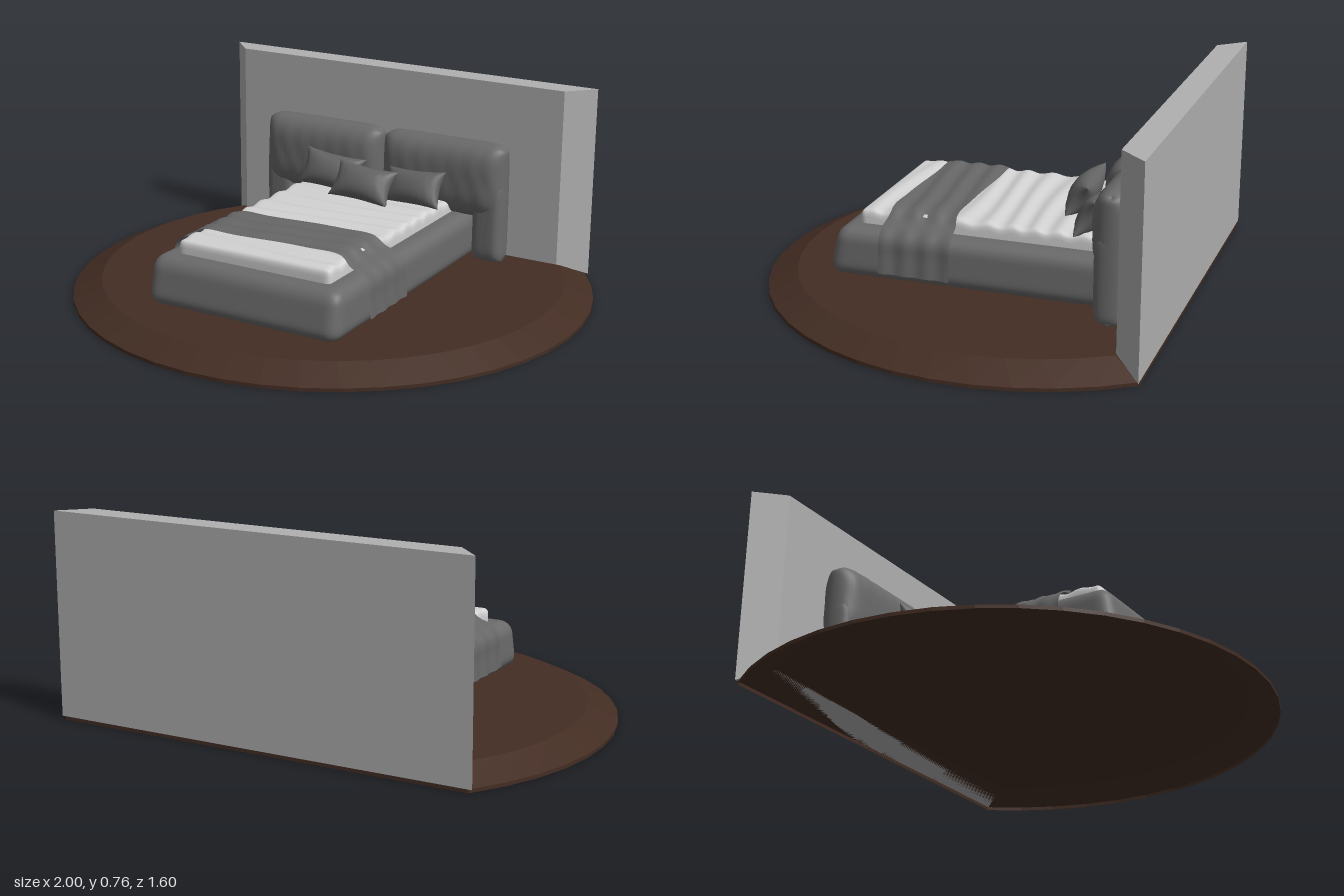
import * as THREE from 'three';
import { mergeVertices } from 'three/addons/utils/BufferGeometryUtils.js';

const material = (name, color, side = THREE.FrontSide) => {
  const m = new THREE.MeshStandardMaterial({ color, side });
  m.name = name;
  return m;
};

// Move every vertex by a rule, weld the seams and smooth the normals
function shaped(geometry, rule) {
  const p = geometry.attributes.position, v = new THREE.Vector3();
  for (let i = 0; i < p.count; i++) {
    v.fromBufferAttribute(p, i);
    rule(v);
    p.setXYZ(i, v.x, v.y, v.z);
  }
  geometry.deleteAttribute('uv');
  geometry.deleteAttribute('normal');
  const g = mergeVertices(geometry, 1e-5);
  g.computeVertexNormals();
  return g;
}

// Box with rounded edges of radius r, then an extra rule for its folds
function softBox(w, h, d, r, segs, rule) {
  const half = new THREE.Vector3(w / 2 - r, h / 2 - r, d / 2 - r);
  const low = half.clone().negate(), inner = new THREE.Vector3();
  return shaped(new THREE.BoxGeometry(w, h, d, ...segs), (v) => {
    inner.copy(v).clamp(low, half);
    v.sub(inner).setLength(r).add(inner);
    rule(v);
  });
}

// Stuffed cushion: power sets how square its section is, pinch how far the sides curve in
function cushion(w, h, d, power, pinch, corner, fold, n = 24) {
  return shaped(new THREE.BoxGeometry(2, 2, 2, n, n, 1), (v) => {
    const u = Math.sin(v.x * Math.PI / 2), t = Math.sin(v.y * Math.PI / 2);
    const puff = Math.sqrt(Math.max(0, (1 - Math.abs(u) ** power[0]) * (1 - Math.abs(t) ** power[1])));
    const wave = 1 + fold * Math.sin(u * 23 + 2 * Math.sin(t * 3));
    v.set(
      u * w / 2 * (1 - pinch * (1 - t * t)) - Math.sign(u) * corner * Math.abs(u) ** 8 * Math.abs(t) ** 14,
      t * h / 2 * (1 - pinch * (1 - u * u)) - Math.sign(t) * corner * Math.abs(t) ** 8 * Math.abs(u) ** 14,
      Math.sign(v.z) * d / 2 * puff * wave
    );
  });
}

// Round platform cut straight at the back: open shell with a sloping rim
function platformGeometry() {
  const n = 32, rings = [[1, 0, -0.8], [1, 0.013, -0.8], [0.89, 0.064, -0.7]];
  const pos = [], index = [];
  for (const [r, y, back] of rings) {
    const end = Math.PI - Math.acos((-0.2 - back) / r);
    for (let i = 0; i <= n; i++) {
      const a = -end + 2 * end * i / n;
      pos.push(r * Math.sin(a), y, -0.2 + r * Math.cos(a));
    }
  }
  const m = n + 1;
  for (let k = 0; k < 2; k++) {
    for (let i = 0; i < m; i++) {
      const a = k * m + i, b = k * m + (i + 1) % m;
      index.push(a, b, b + m, a, b + m, a + m);
    }
  }
  for (let i = 1; i < n; i++) index.push(2 * m, 2 * m + i, 2 * m + i + 1);
  const g = new THREE.BufferGeometry();
  g.setAttribute('position', new THREE.Float32BufferAttribute(pos, 3));
  g.setIndex(index);
  const flat = g.toNonIndexed();
  flat.computeVertexNormals();
  return flat;
}

// Wall with slanted ends, its foot following the sloping rim
function wallGeometry() {
  const s = new THREE.Shape([[-0.815, 0.8], [0.815, 0.8], [0.72, 0.7], [-0.72, 0.7]].map(([x, y]) => new THREE.Vector2(x, y)));
  const g = new THREE.ExtrudeGeometry(s, { depth: 0.76, bevelEnabled: false }).rotateX(-Math.PI / 2);
  const p = g.attributes.position;
  for (let i = 0; i < p.count; i++) {
    if (p.getY(i) < 0.1) p.setY(i, p.getZ(i) > -0.75 ? 0.064 : 0.013);
  }
  g.computeVertexNormals();
  return g;
}

// Throw draped over the bed and down both sides
function blanketGeometry() {
  const side = [[0.424, 0.105], [0.418, 0.17], [0.413, 0.23], [0.385, 0.264], [0.335, 0.285], [0.295, 0.315], [0.15, 0.318]];
  const points = [
    ...side.map(([x, y]) => new THREE.Vector3(-x, y, 0)),
    ...side.reverse().map(([x, y]) => new THREE.Vector3(x, y, 0)),
  ];
  const path = new THREE.CatmullRomCurve3(points);
  return shaped(new THREE.PlaneGeometry(1, 1, 80, 24), (v) => {
    const q = path.getPointAt(THREE.MathUtils.clamp(v.x + 0.5, 0, 1));
    const top = THREE.MathUtils.smoothstep(q.y, 0.27, 0.31);
    const z = 0.13 - v.y * (0.25 + 0.02 * (1 - top));
    const wave = Math.sin(z * 75 + 2 * Math.sin(q.x * 5));
    v.set(q.x + Math.sign(q.x) * (1 - top) * 0.003 * wave, q.y + top * 0.004 * wave, z);
  });
}

export function createModel() {
  const model = new THREE.Group();
  const brown = material('brown floor', 0x432d23, THREE.DoubleSide);
  const wallGrey = material('wall grey', 0xb0b0b0);
  const upholstery = material('upholstery grey', 0x6a6a6a);
  const linen = material('light linen', 0xd2d2d2);
  const throwGrey = material('blanket grey', 0x666666, THREE.DoubleSide);
  const pillowGrey = material('pillow grey', 0x626262);

  const add = (name, geometry, mat, position = [0, 0, 0], rotation = [0, 0, 0]) => {
    const mesh = new THREE.Mesh(geometry, mat);
    mesh.name = name;
    mesh.position.set(...position);
    mesh.rotation.set(...rotation);
    model.add(mesh);
  };

  add('platform', platformGeometry(), brown);
  add('wall', wallGeometry(), wallGrey);

  // Padded bed base, wider at the foot, with shallow vertical folds
  add('bedBase', softBox(0.8, 0.185, 1.15, 0.05, [50, 14, 70], (v) => {
    const edge = THREE.MathUtils.smoothstep(Math.abs(v.y), 0.093, 0.04);
    const fold = 0.003 * edge * Math.sin((v.x + v.z) * 60 + 2 * Math.sin(v.x * 9 + v.y * 14));
    v.x += Math.sign(v.x) * fold - v.x * v.y * 0.1;
    v.z += Math.sign(v.z) * fold;
    if (v.z > 0.3) v.z -= (v.z - 0.3) * v.y * 0.7;
  }), upholstery, [0, 0.158, -0.115]);

  // Mattress with rumpled bedding
  add('mattress', softBox(0.64, 0.14, 0.98, 0.02, [48, 10, 100], (v) => {
    if (v.y > 0.04) {
      const calm = THREE.MathUtils.smoothstep(0.49 - Math.abs(v.z), 0, 0.06);
      v.y += 0.005 * calm * Math.sin(v.z * 62 + 1.6 * Math.sin(v.x * 5 + v.z * 9));
    }
  }), linen, [0, 0.232, -0.115]);

  add('blanket', blanketGeometry(), throwGrey);

  // Two headboard pads, each with a padded leg
  const pad = cushion(0.53, 0.3, 0.165, [7, 3.5], 0, 0.02, 0.02, 36);
  const leg = cushion(0.13, 0.33, 0.115, [5, 10], 0, 0.012, 0.01, 20);
  for (const s of [-1, 1]) {
    const label = s > 0 ? 'left' : 'right';
    add(label + 'HeadboardPad', pad, upholstery, [s * 0.27, 0.39, -0.618]);
    add(label + 'HeadboardLeg', leg, upholstery, [s * 0.47, 0.23, -0.615]);
  }

  // Throw pillows leaning on the headboard
  const pillow = cushion(0.26, 0.15, 0.1, [2.2, 2.2], 0.12, 0, 0.03);
  add('rightPillow', pillow, pillowGrey, [-0.165, 0.368, -0.475], [-0.45, 0.12, -0.06]);
  add('leftPillow', pillow, pillowGrey, [0.2, 0.355, -0.48], [-0.5, -0.1, 0.02]);
  add('middlePillow', pillow, pillowGrey, [0.025, 0.368, -0.39], [-0.6, 0.05, -0.05]);

  return model;
}
